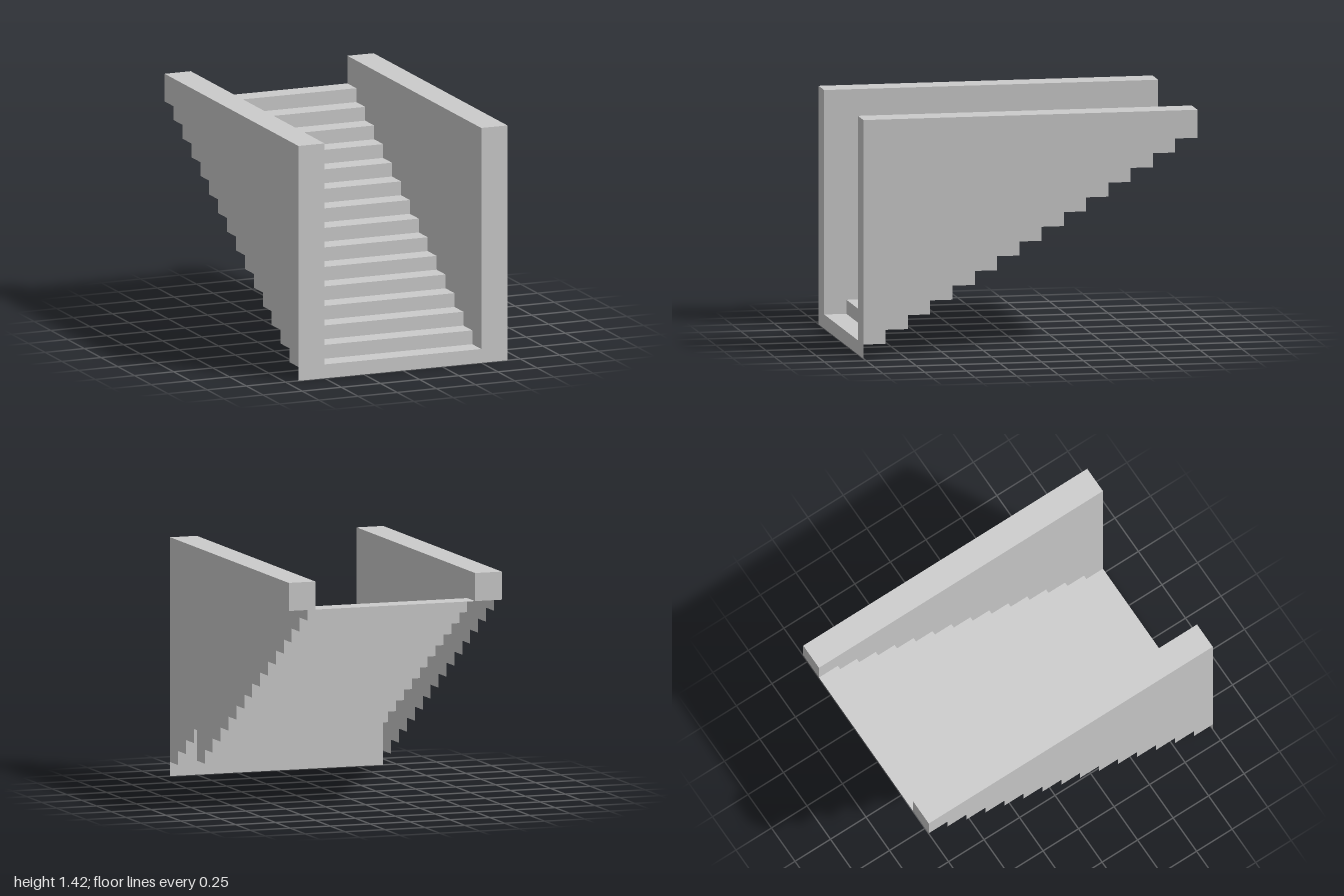
import * as THREE from 'three';

const STEPS = 15, DEPTH = 2 / STEPS, RISE = 1.25 / STEPS;
const INNER = 0.5, OUTER = 0.667, TOP = RISE * 17;

export function createModel() {
  const model = new THREE.Group();
  model.name = 'staircase';
  const material = new THREE.MeshStandardMaterial({ color: 0xcccccc, side: THREE.DoubleSide });

  function add(parent, name, geometry, x, y, z) {
    const mesh = new THREE.Mesh(geometry, material);
    mesh.name = name;
    mesh.position.set(x, y, z);
    parent.add(mesh);
  }

  // Front panel: both wall ends joined by the first riser
  const front = new THREE.Shape([
    [-OUTER, 0], [OUTER, 0], [OUTER, TOP], [INNER, TOP],
    [INNER, RISE], [-INNER, RISE], [-INNER, TOP], [-OUTER, TOP],
  ].map(([x, y]) => new THREE.Vector2(x, y)));
  add(model, 'frontPanel', new THREE.ShapeGeometry(front), 0, 0, 1);

  // Steps: an open sheet of treads and risers
  const stairs = new THREE.Group();
  stairs.name = 'stairs';
  model.add(stairs);
  const tread = new THREE.PlaneGeometry(2 * INNER, DEPTH).rotateX(-Math.PI / 2);
  const riser = new THREE.PlaneGeometry(2 * INNER, RISE);
  for (let i = 0; i < STEPS; i++) {
    add(stairs, 'tread', tread, 0, RISE * (i + 1), 1 - DEPTH * (i + 0.5));
    if (i > 0) add(stairs, 'riser', riser, 0, RISE * (i + 0.5), 1 - DEPTH * i);
  }

  // Wall profile with a stepped lower edge, running front to back
  const profile = new THREE.Shape();
  profile.moveTo(-1, TOP);
  for (let i = 0; i < STEPS; i++) {
    profile.lineTo(-1 + DEPTH * i, RISE * (i + 1));
    profile.lineTo(-1 + DEPTH * (i + 1), RISE * (i + 1));
  }
  profile.lineTo(1, TOP);
  const wallFace = new THREE.ShapeGeometry(profile).rotateY(Math.PI / 2);

  // Hollow side walls, open underneath
  const width = OUTER - INNER, mid = (OUTER + INNER) / 2, endHeight = TOP - RISE * STEPS;
  const cap = new THREE.PlaneGeometry(width, 2).rotateX(-Math.PI / 2);
  const end = new THREE.PlaneGeometry(width, endHeight).rotateY(Math.PI);
  for (const side of [1, -1]) {
    const wall = new THREE.Group();
    wall.name = side > 0 ? 'leftWall' : 'rightWall';
    model.add(wall);
    add(wall, 'outerFace', wallFace, side * OUTER, 0, 0);
    add(wall, 'innerFace', wallFace, side * INNER, 0, 0);
    add(wall, 'topCap', cap, side * mid, TOP, 0);
    add(wall, 'backEnd', end, side * mid, TOP - endHeight / 2, -1);
  }
  return model;
}
